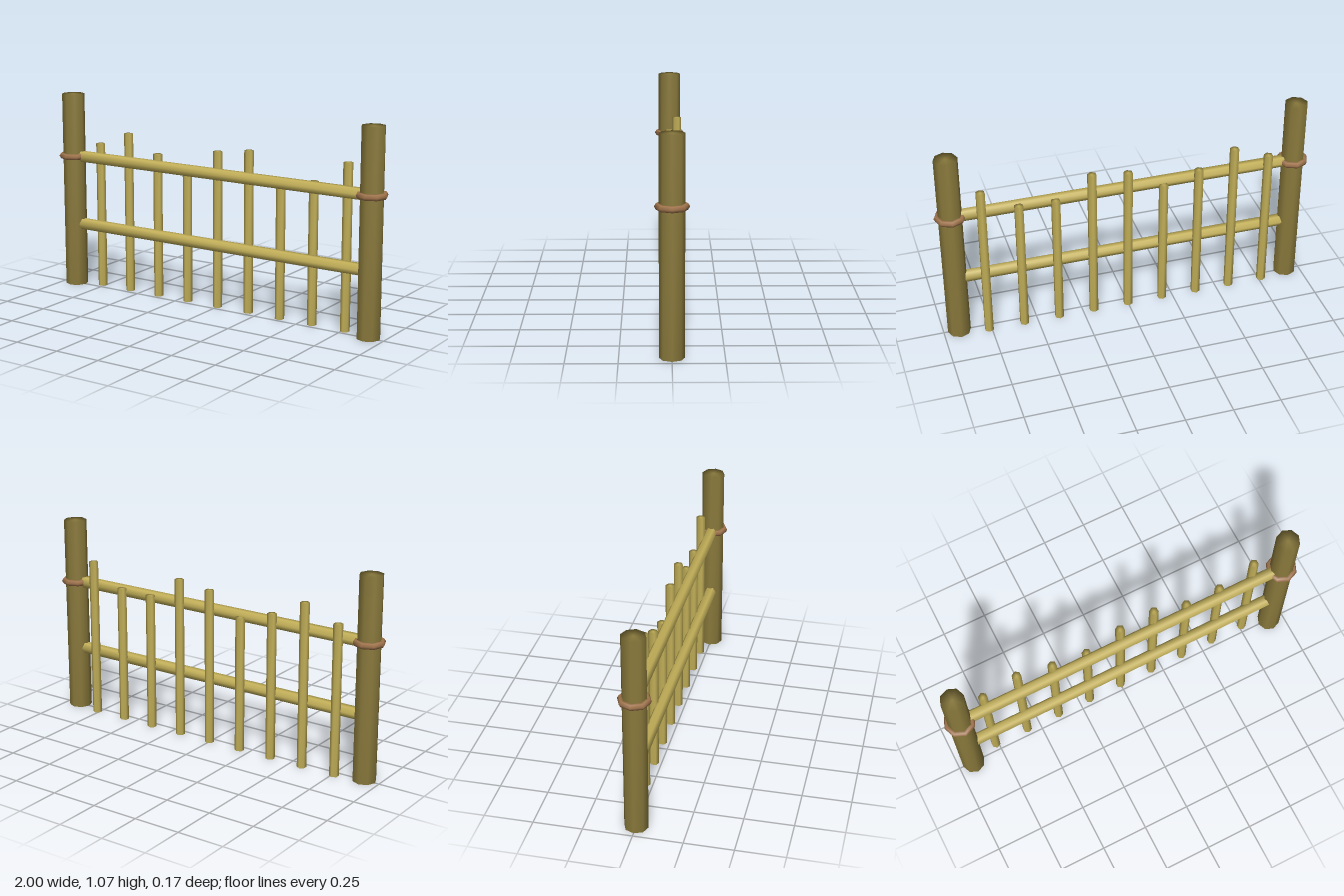
import * as THREE from 'three';
import { mergeVertices } from 'three/addons/utils/BufferGeometryUtils.js';

// Low-sided pole standing on y = 0, softly shaded over its rim
function poleGeometry(radius, length, sides) {
  let geometry = new THREE.CylinderGeometry(radius, radius, length, sides);
  geometry.deleteAttribute('normal');
  geometry.deleteAttribute('uv');
  geometry = mergeVertices(geometry);
  geometry.computeVertexNormals();
  return geometry.translate(0, length / 2, 0);
}

export function createModel() {
  const group = new THREE.Group();
  const darkBamboo = new THREE.MeshStandardMaterial({ name: 'dark bamboo', color: 0x8a7a3c });
  const lightBamboo = new THREE.MeshStandardMaterial({ name: 'light bamboo', color: 0xc2af58 });
  const ropeBrown = new THREE.MeshStandardMaterial({ name: 'rope brown', color: 0xa0744c });

  function add(name, geometry, material, x, y, z) {
    const mesh = new THREE.Mesh(geometry, material);
    mesh.name = name;
    mesh.position.set(x, y, z);
    group.add(mesh);
    return mesh;
  }

  // Posts, each with a rope ring at the height of the upper rail
  const postX = 0.917;
  const post = poleGeometry(0.061, 1.07, 8);
  const rope = new THREE.TorusGeometry(0.066, 0.017, 6, 8).rotateX(Math.PI / 2);
  for (const [side, sign] of [['left', 1], ['right', -1]]) {
    add(side + 'Post', post, darkBamboo, sign * postX, 0, 0);
    add(side + 'Rope', rope, ropeBrown, sign * postX, 0.728, 0);
  }

  // Rails running from post to post
  const rail = poleGeometry(0.032, postX * 2, 6).rotateZ(-Math.PI / 2);
  add('upperRail', rail, lightBamboo, -postX, 0.727, 0);
  add('lowerRail', rail, lightBamboo, -postX, 0.347, 0);

  // Pickets of uneven height behind the rails
  const heights = [0.803, 0.877, 0.785, 0.73, 0.84, 0.865, 0.745, 0.75, 0.867];
  heights.forEach((height, i) => {
    add('picket' + (i + 1), poleGeometry(0.0245, height, 6), lightBamboo, (i - 4) * 0.191, 0, -0.038);
  });

  return group;
}
